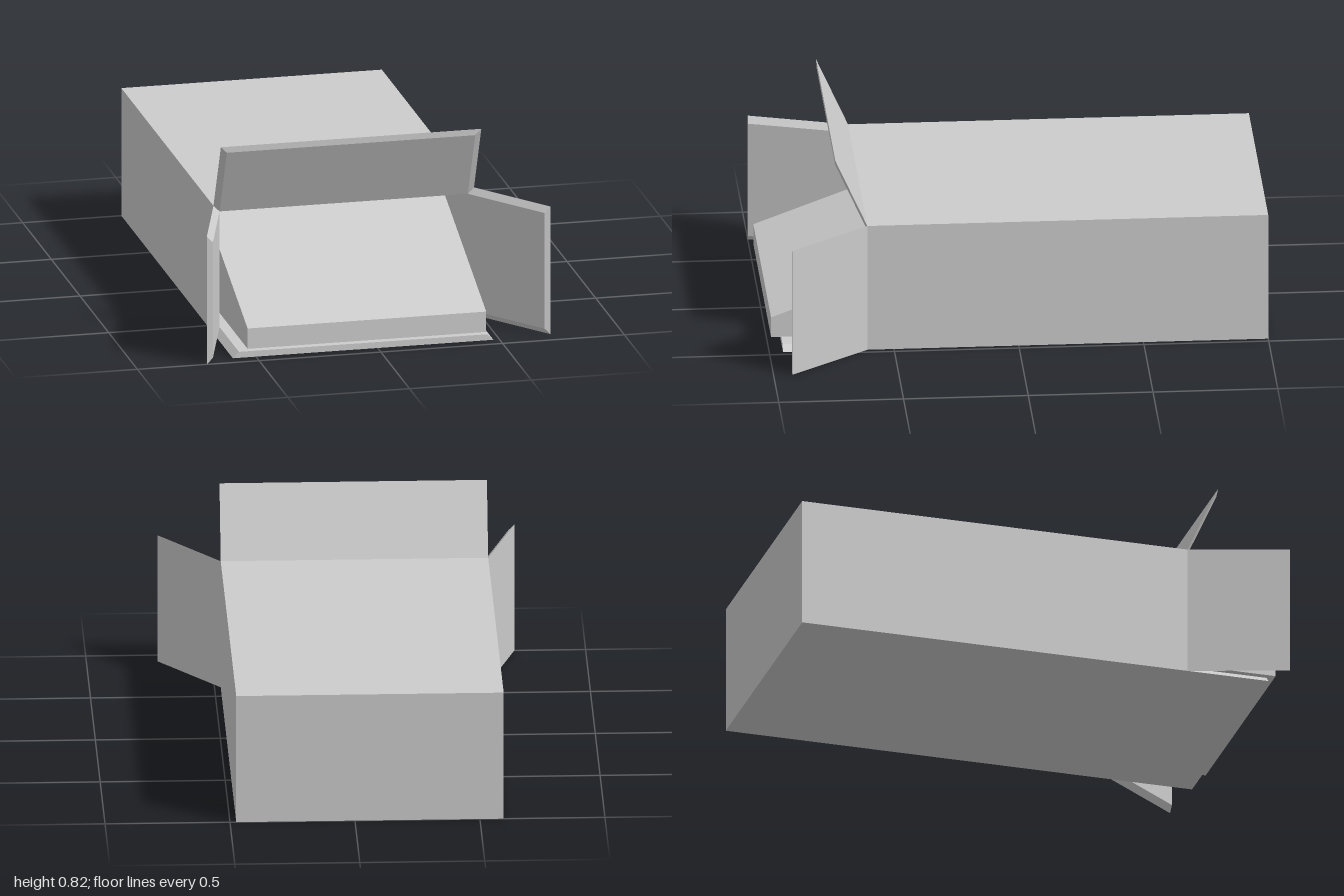
import * as THREE from 'three';
import { ConvexGeometry } from 'three/addons/geometries/ConvexGeometry.js';

const L = -0.595, R = 0.475, H = 0.535; // outer box section
const T = 0.025;                        // board thickness
const BACK = -1, HINGE = 0.607;

export function createModel() {
  const group = new THREE.Group();
  const material = new THREE.MeshStandardMaterial({ color: 0xcccccc, flatShading: true });

  const add = (name, geometry) => {
    const mesh = new THREE.Mesh(geometry, material);
    mesh.name = name;
    group.add(mesh);
  };

  // rectangle as a closed outline
  const rect = (target, x0, y0, x1, y1) =>
    target.moveTo(x0, y0).lineTo(x1, y0).lineTo(x1, y1).lineTo(x0, y1).closePath();

  // Four-sided sleeve of the carton, open at the front
  const frame = rect(new THREE.Shape(), L, 0, R, H);
  frame.holes.push(rect(new THREE.Path(), L + T, T, R - T, H - T));
  const sleeve = new THREE.ExtrudeGeometry(frame, { depth: HINGE - BACK - T, bevelEnabled: false });
  sleeve.translate(0, 0, BACK + T);
  add('cartonSleeve', sleeve);

  // Closed back end
  const back = new THREE.BoxGeometry(R - L, H, T);
  back.translate((L + R) / 2, H / 2, BACK + T / 2);
  add('cartonBack', back);

  // Flap with mitred edges: each edge is [outer corner, inner corner] pairs,
  // given at the hinge and at the tip
  const flap = (name, hinge, tip, tipZ) => {
    const points = [
      ...hinge.map(([x, y]) => new THREE.Vector3(x, y, HINGE)),
      ...tip.map(([x, y]) => new THREE.Vector3(x, y, tipZ)),
    ];
    add(name, new ConvexGeometry(points));
  };
  const sideEdge = (x, inward) => [[x, 0], [x, H], [x + inward, T], [x + inward, H - T]];
  const levelEdge = (y, inward) => [[L, y], [R, y], [L + T, y + inward], [R - T, y + inward]];

  flap('rightFlap', sideEdge(L, T), sideEdge(-0.715, T), 1);
  flap('leftFlap', sideEdge(R, -T), sideEdge(0.715, -T), 0.925);
  flap('topFlap', levelEdge(H, -T), levelEdge(0.82, -T), 0.735);
  flap('bottomFlap', levelEdge(0, T), levelEdge(0, T), 0.945);

  // Insert with a sloping top, sliding out of the opening (profile in z, y)
  const profile = new THREE.Shape([
    [-0.95, 0.05], [0.99, 0.05], [0.99, 0.135], [0.02, 0.495], [-0.95, 0.495],
  ].map(([z, y]) => new THREE.Vector2(z, y)));
  const insert = new THREE.ExtrudeGeometry(profile, { depth: 0.98, bevelEnabled: false });
  insert.rotateY(-Math.PI / 2);
  insert.translate(0.435, 0, 0);
  add('slopedInsert', insert);

  return group;
}
